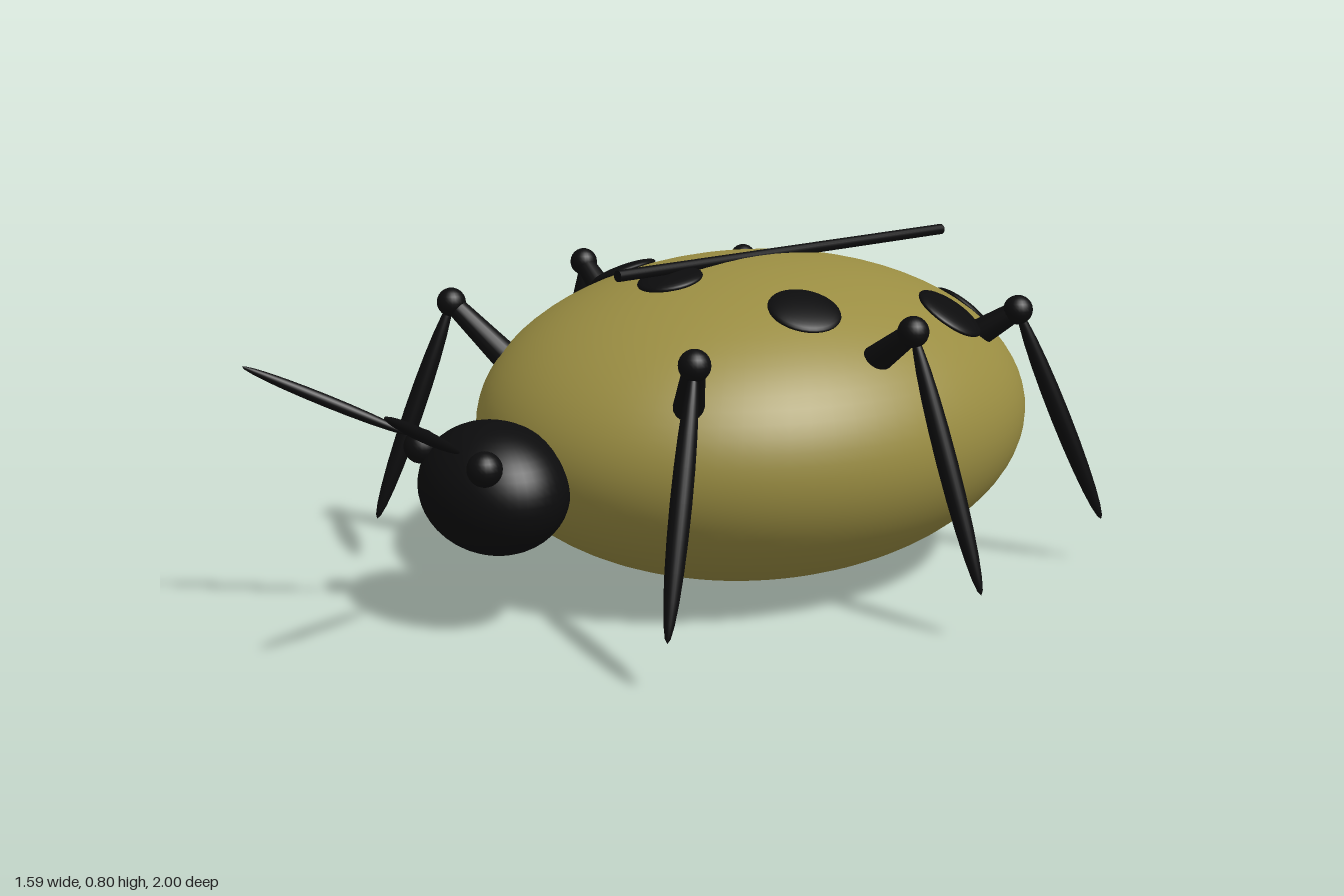
import * as THREE from 'three';

const shellColour = new THREE.MeshStandardMaterial({ name: 'olive shell', color: 0x9a8d42 });
const black = new THREE.MeshStandardMaterial({ name: 'black', color: 0x0c0c0d });
const UP = new THREE.Vector3(0, 1, 0);
const BODY = { centre: new THREE.Vector3(0, 0.398, -0.265), radii: new THREE.Vector3(0.63, 0.395, 0.735) };

// Ellipsoid with its y axis optionally turned along a direction
function ellipsoid(name, material, centre, radii, axis = UP, detail = 24) {
  const mesh = new THREE.Mesh(new THREE.SphereGeometry(1, detail * 2, detail), material);
  mesh.name = name;
  mesh.position.copy(centre);
  mesh.scale.copy(radii);
  mesh.quaternion.setFromUnitVectors(UP, axis);
  return mesh;
}

// Thin pointed limb between two points
function spindle(name, from, to, radius) {
  const axis = to.clone().sub(from);
  const half = axis.length() / 2;
  const centre = from.clone().add(to).multiplyScalar(0.5);
  return ellipsoid(name, black, centre, new THREE.Vector3(radius, half, radius), axis.normalize(), 12);
}

// Tapered rod between two points
function rod(name, from, to, r0, r1) {
  const axis = to.clone().sub(from);
  const mesh = new THREE.Mesh(new THREE.CylinderGeometry(r1, r0, axis.length(), 16), black);
  mesh.name = name;
  mesh.position.copy(from).add(to).multiplyScalar(0.5);
  mesh.quaternion.setFromUnitVectors(UP, axis.normalize());
  return mesh;
}

// Flat round spot resting on the upper shell, facing along its normal
function spot(x, z, radius) {
  const { centre: c, radii: r } = BODY;
  const dz = z - c.z;
  const dy = r.y * Math.sqrt(1 - (x / r.x) ** 2 - (dz / r.z) ** 2);
  const normal = new THREE.Vector3(x / r.x ** 2, dy / r.y ** 2, dz / r.z ** 2).normalize();
  return ellipsoid('spot', black, new THREE.Vector3(x, c.y + dy, z), new THREE.Vector3(radius, 0.018, radius), normal, 16);
}

export function createModel() {
  const model = new THREE.Group();
  model.name = 'beetle';
  const v = (x, y, z) => new THREE.Vector3(x, y, z);

  // Body, head and the seam along the back
  model.add(ellipsoid('body', shellColour, BODY.centre, BODY.radii, UP, 40));
  model.add(ellipsoid('head', black, v(0, 0.345, 0.54), v(0.2, 0.153, 0.16)));
  model.add(rod('backSeam', v(0, 0.79, 0.175), v(0, 0.79, -0.94), 0.014, 0.014));
  model.add(spot(0, 0.015, 0.08));

  // Leg points: hip on the shell, knee ball, foot tip
  const legs = [
    ['frontLeg', [0.35, 0.55, 0.255], [0.463, 0.68, 0.335], [0.575, 0.125, 0.505]],
    ['middleLeg', [0.48, 0.61, -0.18], [0.605, 0.705, -0.188], [0.79, 0.12, -0.24]],
    ['rearLeg', [0.4, 0.6, -0.62], [0.5, 0.678, -0.673], [0.613, 0.125, -0.9]],
  ];

  for (const side of [-1, 1]) {
    const p = (a) => v(side * a[0], a[1], a[2]);
    for (const [name, hip, knee, foot] of legs) {
      const leg = new THREE.Group();
      leg.name = name;
      leg.add(rod('upperLeg', p(hip), p(knee), 0.036, 0.024));
      leg.add(ellipsoid('knee', black, p(knee), v(0.036, 0.036, 0.036), UP, 12));
      leg.add(spindle('lowerLeg', p(knee), p(foot), 0.024));
      model.add(leg);
    }
    // Eyes and feelers
    model.add(ellipsoid('eye', black, v(side * 0.127, 0.435, 0.65), v(0.04, 0.04, 0.04), UP, 12));
    model.add(spindle('feeler', p([0.098, 0.475, 0.695]), p([0.295, 0.643, 1]), 0.014));
    // Spots on each wing case
    model.add(spot(side * 0.335, -0.11, 0.087));
    model.add(spot(side * 0.39, -0.55, 0.09));
    model.add(spot(side * 0.147, -0.875, 0.09));
  }
  return model;
}
